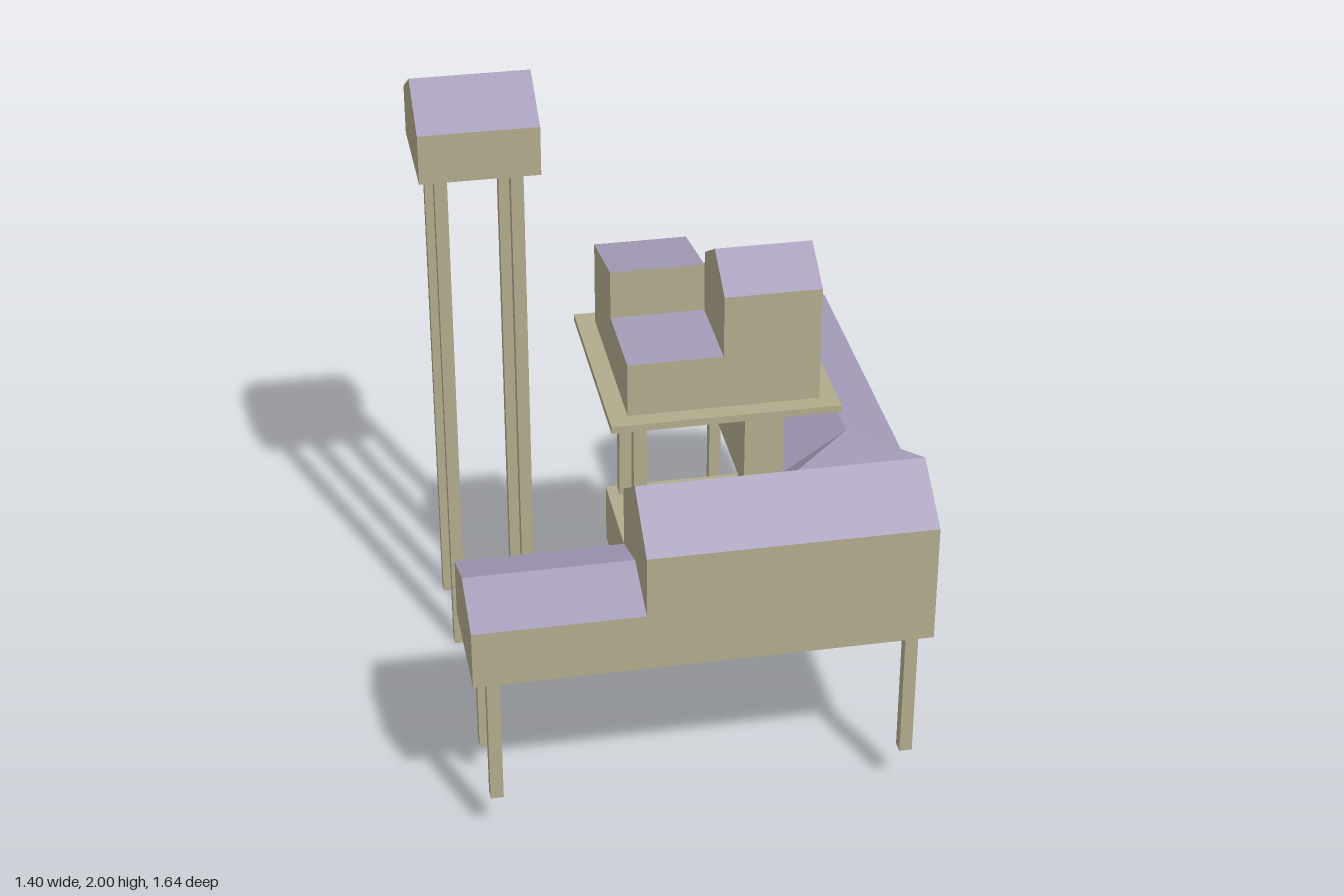
import * as THREE from 'three';

const wallMat = new THREE.MeshStandardMaterial({ color: 0xb2ab8c, flatShading: true, side: THREE.DoubleSide });
const roofMat = new THREE.MeshStandardMaterial({ color: 0xa59cb8, flatShading: true, side: THREE.DoubleSide });

// Flat convex panels; each is turned to face away from the point "inside"
function panels(name, material, inside, polygons) {
  const centre = new THREE.Vector3(...inside);
  const positions = [];
  for (const polygon of polygons) {
    const p = polygon.map((c) => new THREE.Vector3(...c));
    const normal = p[1].clone().sub(p[0]).cross(p[2].clone().sub(p[0]));
    if (normal.dot(p[0].clone().sub(centre)) < 0) p.reverse();
    for (let i = 1; i < p.length - 1; i++) {
      for (const v of [p[0], p[i], p[i + 1]]) positions.push(v.x, v.y, v.z);
    }
  }
  const geometry = new THREE.BufferGeometry();
  geometry.setAttribute('position', new THREE.Float32BufferAttribute(positions, 3));
  geometry.computeVertexNormals();
  const mesh = new THREE.Mesh(geometry, material);
  mesh.name = name;
  return mesh;
}

// Box given by its extents
function block(name, [x0, x1], [y0, y1], [z0, z1]) {
  const mesh = new THREE.Mesh(new THREE.BoxGeometry(x1 - x0, y1 - y0, z1 - z0), wallMat);
  mesh.position.set((x0 + x1) / 2, (y0 + y1) / 2, (z0 + z1) / 2);
  mesh.name = name;
  return mesh;
}

const post = (name, x, z, y0, y1, s = 0.04) =>
  block(name, [x - s / 2, x + s / 2], [y0, y1], [z - s / 2, z + s / 2]);

// Gabled stretch of building: u runs along the ridge, w across it.
// "far" shortens the side wall and slope at w0; ends lists the gables to close,
// and stepFrom leaves the u0 gable open below a lower roof profile.
function gabled(name, { alongZ = false, u: [u0, u1], w: [w0, w1], base, eave, ridge,
  far = u1, near = u1, ends = [], stepFrom, floor = false }) {
  const at = (u, y, w) => (alongZ ? [w, y, u] : [u, y, w]);
  const mid = (w0 + w1) / 2;
  const inside = at((u0 + u1) / 2, (base + eave) / 2, mid);
  const strip = (ua, ub, ya, wa, yb, wb) => [at(ua, ya, wa), at(ub, ya, wa), at(ub, yb, wb), at(ua, yb, wb)];
  const walls = [
    strip(u0, far, base, w0, eave, w0),
    strip(u0, near, base, w1, eave, w1),
  ];
  for (const u of ends) {
    walls.push([at(u, base, w0), at(u, eave, w0), at(u, ridge, mid), at(u, eave, w1), at(u, base, w1)]);
  }
  if (stepFrom) {
    const [lowEave, lowRidge] = stepFrom;
    for (const w of [w0, w1]) {
      walls.push([at(u0, lowEave, w), at(u0, eave, w), at(u0, ridge, mid), at(u0, lowRidge, mid)]);
    }
  }
  if (floor) walls.push(strip(u0, u1, base, w0, base, w1));
  const group = new THREE.Group();
  group.name = name;
  group.add(
    panels(name + 'Walls', wallMat, inside, walls),
    panels(name + 'Roof', roofMat, inside, [
      strip(u0, far, eave, w0, ridge, mid),
      strip(u0, u1, eave, w1, ridge, mid),
    ]),
  );
  return group;
}

export function createModel() {
  const model = new THREE.Group();
  model.name = 'stiltHouse';
  const low = { base: 0.61, eave: 0.8, ridge: 0.87 };
  const tall = { base: 0.61, eave: 1.0, ridge: 1.13 };
  const stepFrom = [low.eave, low.ridge];

  // L-shaped house, open underneath
  const front = { w: [0.43, 0.82] };
  const side = { alongZ: true, w: [0.31, 0.7] };
  model.add(
    gabled('frontWing', { ...front, ...tall, u: [-0.18, 0.7], far: 0.31, ends: [0.7], stepFrom }),
    gabled('frontWingLowEnd', { ...front, ...low, u: [-0.7, -0.18], ends: [-0.7] }),
    gabled('sideWing', { ...side, ...tall, u: [-0.64, 0.43], stepFrom }),
    gabled('sideWingLowEnd', { ...side, ...low, u: [-0.82, -0.64], ends: [-0.82] }),
  );

  // Roof where the two wings meet: a flat triangle between two slopes
  const tip = [0.505, 1.13, 0.43];
  const ridgeIn = [0.31, 1.13, 0.625];
  const ridgeOut = [0.7, 1.13, 0.625];
  model.add(panels('cornerRoof', roofMat, [0.505, 0.8, 0.6], [
    [tip, ridgeIn, ridgeOut],
    [tip, ridgeIn, [0.31, 1.0, 0.43]],
    [tip, ridgeOut, [0.7, 1.0, 0.43]],
  ]));

  // Flat-topped terrace in the inner corner, open underneath
  const [tx0, tx1, tz0, tz1] = [-0.18, 0.31, 0.1, 0.43];
  model.add(panels('terrace', wallMat, [0.06, 0.7, 0.27], [
    [[tx0, 0.8, tz0], [tx1, 0.8, tz0], [tx1, 0.8, tz1], [tx0, 0.8, tz1]],
    [[tx0, 0.61, tz0], [tx1, 0.61, tz0], [tx1, 0.8, tz0], [tx0, 0.8, tz0]],
    [[tx0, 0.61, tz0], [tx0, 0.61, tz1], [tx0, 0.8, tz1], [tx0, 0.8, tz0]],
  ]));

  // House stilts
  for (const [x, z] of [[-0.635, 0.75], [-0.635, 0.49], [0.647, 0.75], [0.35, -0.775], [0.647, -0.775], [-0.125, 0.135]]) {
    model.add(post('houseStilt', x, z, 0.15, 0.61));
  }

  // Stair shaft with a sloping top
  const shaftShape = new THREE.Shape([[0.19, 0.8], [0.31, 0.8], [0.31, 1.245], [0.19, 1.21]]
    .map(([x, y]) => new THREE.Vector2(x, y)));
  const shaft = new THREE.Mesh(new THREE.ExtrudeGeometry(shaftShape, { depth: 0.085, bevelEnabled: false }), wallMat);
  shaft.position.z = 0.35;
  shaft.name = 'stairShaft';
  model.add(shaft);

  // Raised platform on four posts
  const upper = new THREE.Group();
  upper.name = 'upperHouse';
  for (const x of [-0.125, 0.283]) {
    for (const z of [0.135, 0.39]) upper.add(post('platformPost', x, z, 0.8, 1.283));
  }
  upper.add(block('platform', [-0.242, 0.445], [1.297, 1.32], [-0.095, 0.592]));

  // Upper house: gabled room, two flat-roofed rooms and one with a lean-to roof
  const [x0, xm, x1, z0, zm, z1] = [-0.185, 0.1, 0.39, -0.04, 0.25, 0.538];
  upper.add(gabled('gabledRoom', { u: [xm, x1], w: [zm, z1], base: 1.32, eave: 1.685, ridge: 1.77, ends: [xm, x1] }));
  const room = (name, [xa, xb], [za, zb], backY, frontY) => {
    const inside = [(xa + xb) / 2, 1.4, (za + zb) / 2];
    const gableAt = (x) => [[x, 1.32, za], [x, backY, za], [x, frontY, zb], [x, 1.32, zb]];
    upper.add(
      panels(name + 'Walls', wallMat, inside, [
        gableAt(xa), gableAt(xb),
        [[xa, 1.32, za], [xb, 1.32, za], [xb, backY, za], [xa, backY, za]],
        [[xa, 1.32, zb], [xb, 1.32, zb], [xb, frontY, zb], [xa, frontY, zb]],
      ]),
      panels(name + 'Roof', roofMat, inside, [
        [[xa, backY, za], [xb, backY, za], [xb, frontY, zb], [xa, frontY, zb]],
      ]),
    );
  };
  room('frontRoom', [x0, xm], [zm, z1], 1.49, 1.49);
  room('sideRoom', [xm, x1], [z0, zm], 1.49, 1.49);
  room('leanToRoom', [x0, xm], [z0, zm], 1.588, 1.643);
  model.add(upper);

  // Watchtower on tall stilts
  const tower = new THREE.Group();
  tower.name = 'tower';
  tower.add(gabled('towerCabin', {
    u: [-0.69, -0.312], w: [-0.635, -0.257], base: 1.73, eave: 1.892, ridge: 2, ends: [-0.69, -0.312], floor: true,
  }));
  for (const x of [-0.624, -0.387]) {
    for (const z of [-0.28, -0.597]) tower.add(post('towerStilt', x, z, 0, 1.73));
  }
  model.add(tower);

  return model;
}
